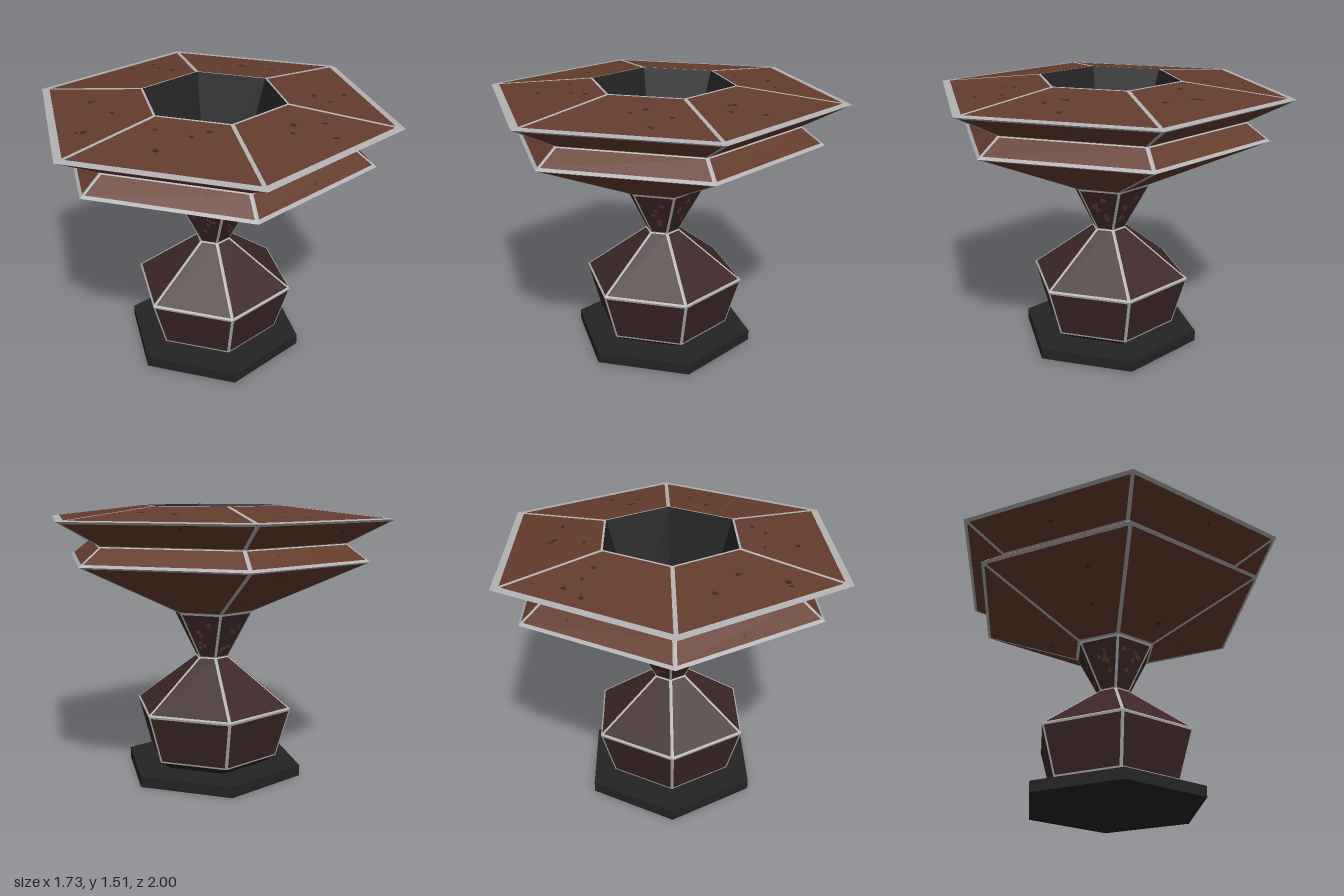
import * as THREE from 'three';

const SIDES = 6;
const material = (name, color) => {
  const m = new THREE.MeshStandardMaterial({ color });
  m.name = name;
  return m;
};

// Flat-shaded mesh from a list of quads, corners counter-clockwise
function quadMesh(name, quads, mat) {
  const points = quads.flatMap(([a, b, c, d]) => [a, b, c, a, c, d]);
  const geometry = new THREE.BufferGeometry().setFromPoints(points);
  geometry.computeVertexNormals();
  const mesh = new THREE.Mesh(geometry, mat);
  mesh.name = name;
  return mesh;
}

// Corner of a hexagonal ring, with corner 0 facing +z
function corner(radius, y, i) {
  const a = (i * Math.PI * 2) / SIDES;
  return new THREE.Vector3(radius * Math.sin(a), y, radius * Math.cos(a));
}

export function createModel() {
  const black = material('black', 0x232323);
  const steel = material('steel', 0xb2b2b2);
  const rust = material('rust', 0x643c2d);
  const maroon = material('maroon', 0x3c2627);

  let seed = 7;
  const random = () => {
    seed = (seed * 16807) % 2147483647;
    return seed / 2147483647;
  };

  // Ring of six panels from (r0, y0) to (r1, y1), each with a metal border
  // widths: lower, upper and side border; spots: stains per panel
  function band(name, [r0, y0], [r1, y1], mat, widths, spots = 0, spotMat = maroon, spotSize = 0.03) {
    const group = new THREE.Group();
    group.name = name;
    const panels = [], borders = [], stains = [];
    for (let i = 0; i < SIDES; i++) {
      const A = corner(r0, y0, i), B = corner(r0, y0, i + 1);
      const C = corner(r1, y1, i + 1), D = corner(r1, y1, i);
      if (!widths) {
        panels.push([A, B, C, D]);
        continue;
      }
      const [low, high, side] = widths;
      const slant = A.clone().add(B).distanceTo(C.clone().add(D)) / 2;
      const inset = (t, right) => {
        const l = A.clone().lerp(D, t), r = B.clone().lerp(C, t);
        const k = side / l.distanceTo(r);
        return l.lerp(r, right ? 1 - k : k);
      };
      const a = inset(low / slant, false), b = inset(low / slant, true);
      const c = inset(1 - high / slant, true), d = inset(1 - high / slant, false);
      panels.push([a, b, c, d]);
      borders.push([A, B, b, a], [B, C, c, b], [C, D, d, c], [D, A, a, d]);

      // Small irregular stains lying just above the panel
      const across = b.clone().sub(a).normalize();
      const normal = across.clone().cross(d.clone().sub(a)).normalize();
      const up = normal.clone().cross(across);
      for (let s = 0; s < spots; s++) {
        const u = 0.2 + 0.6 * random(), v = 0.15 + 0.7 * random();
        const centre = a.clone().lerp(b, u).lerp(d.clone().lerp(c, u), v).addScaledVector(normal, 0.002);
        stains.push([0, 1, 2, 3].map((k) => {
          const angle = (k * Math.PI) / 2 + random();
          const size = spotSize * (0.4 + 0.6 * random());
          return centre.clone()
            .addScaledVector(across, Math.cos(angle) * size)
            .addScaledVector(up, Math.sin(angle) * size);
        }));
      }
    }
    group.add(quadMesh(name + 'Panels', panels, mat));
    if (borders.length) group.add(quadMesh(name + 'Borders', borders, steel));
    if (stains.length) group.add(quadMesh(name + 'Stains', stains, spotMat));
    return group;
  }

  const model = new THREE.Group();
  model.name = 'hexagonalPedestal';

  // Base plate
  const plateGeometry = new THREE.CylinderGeometry(0.52, 0.52, 0.06, SIDES).toNonIndexed();
  plateGeometry.computeVertexNormals();
  const plate = new THREE.Mesh(plateGeometry, black);
  plate.name = 'basePlate';
  plate.position.y = 0.03;
  model.add(plate);

  // Foot, lower body and neck
  model.add(
    band('foot', [0.31, 0.06], [0.38, 0.105], black),
    band('lowerBody', [0.38, 0.105], [0.462, 0.385], maroon, [0.01, 0.012, 0.01]),
    band('shoulder', [0.462, 0.385], [0.095, 0.665], maroon, [0.012, 0.008, 0.01]),
    band('neck', [0.095, 0.665], [0.237, 0.93], maroon, [0.006, 0.012, 0.009], 6, rust, 0.025)
  );

  // Flared bowl with two stepped rims
  model.add(
    band('bowlUnderside', [0.237, 0.93], [0.878, 1.22], rust, [0.012, 0.02, 0.012], 2, maroon, 0.02),
    band('lowerRim', [0.878, 1.22], [0.75, 1.315], rust, [0.02, 0.008, 0.012], 1, maroon, 0.01),
    band('upperRimUnderside', [0.75, 1.315], [1, 1.445], rust, [0.008, 0.022, 0.012], 1, maroon, 0.02),
    band('topDeck', [1, 1.445], [0.395, 1.512], rust, [0.04, 0.012, 0.012], 4, maroon, 0.026)
  );

  // Dark well sunk into the top
  model.add(band('wellWall', [0.395, 1.512], [0.21, 0.95], black));
  const floor = new THREE.Mesh(new THREE.CircleGeometry(0.21, SIDES), black);
  floor.name = 'wellFloor';
  floor.rotation.set(-Math.PI / 2, 0, Math.PI / 2);
  floor.position.y = 0.95;
  model.add(floor);

  return model;
}
